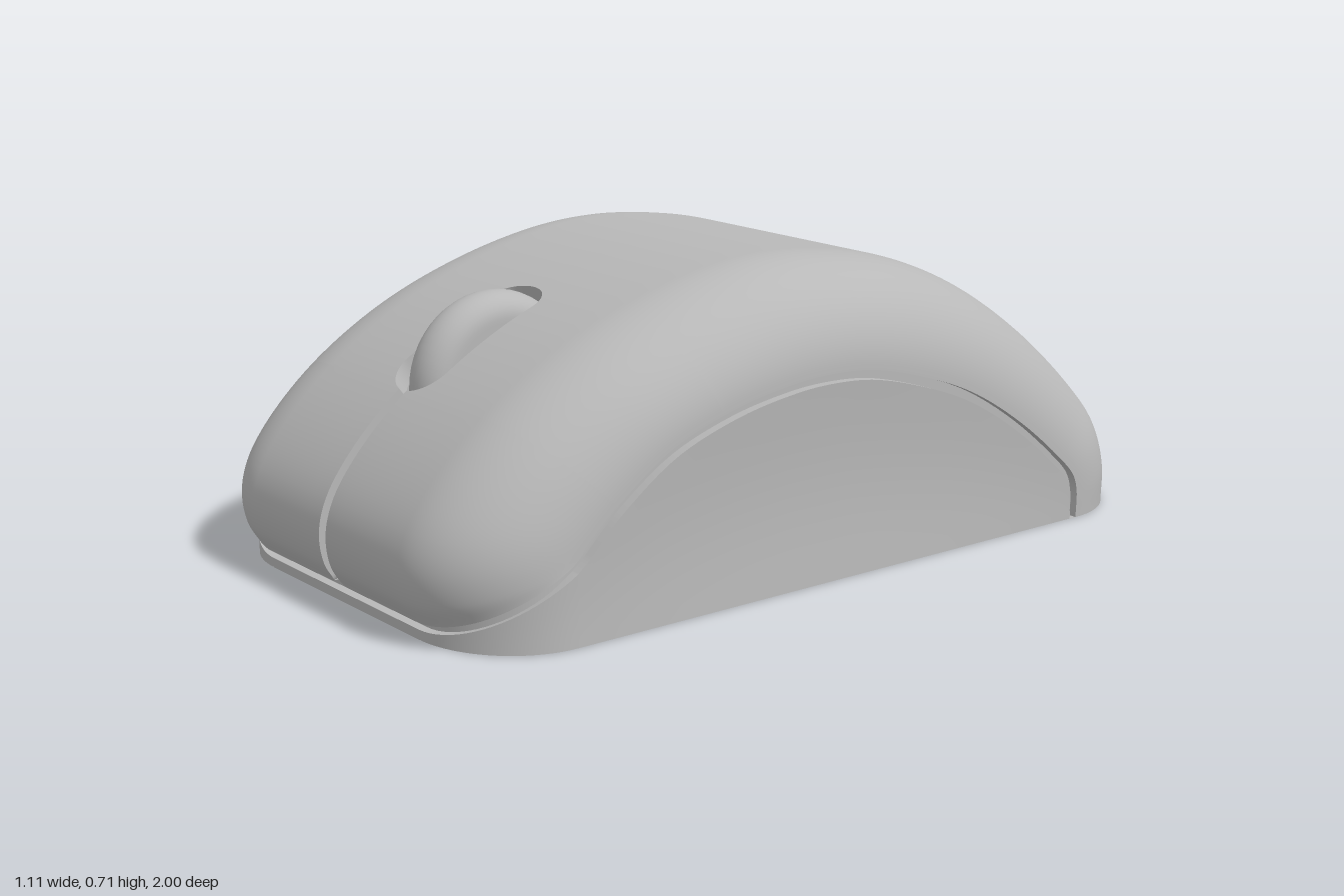
import * as THREE from 'three';

const HALF = 0.555, R = 0.25, X0 = HALF - R; // half width, edge rounding, flat half width
const curve = (pts) => new THREE.CatmullRomCurve3(pts.map(([z, y]) => new THREE.Vector3(0, y, z)));

// Matching side profiles: centre line of the shell and its lower rim at the side
const crown = curve([
  [0.96, 0.04], [0.99, 0.09], [1, 0.16], [0.98, 0.235], [0.91, 0.335], [0.78, 0.455], [0.6, 0.565], [0.4, 0.645],
  [0.2, 0.695], [0.05, 0.71], [-0.1, 0.703], [-0.3, 0.667], [-0.5, 0.59], [-0.7, 0.465],
  [-0.88, 0.31], [-0.96, 0.215], [-1, 0.1], [-1, 0]]);
const rim = curve([
  [0.74, 0.175], [0.725, 0.187], [0.71, 0.2], [0.695, 0.215], [0.675, 0.235], [0.62, 0.285], [0.48, 0.38], [0.31, 0.44],
  [0.155, 0.468], [0.05, 0.475], [-0.08, 0.467], [-0.23, 0.43], [-0.39, 0.37], [-0.55, 0.275],
  [-0.69, 0.165], [-0.745, 0.11], [-0.76, 0.07], [-0.76, 0]]);

// Inward normal of a profile in the side plane
const inward = (c, t) => {
  const d = c.getTangent(t);
  return new THREE.Vector3(0, d.z, -d.y);
};

// Surface from rows of points
function grid(rows, flip) {
  const n = rows[0].length, index = [];
  for (let i = 0; i < rows.length - 1; i++) {
    for (let j = 0; j < n - 1; j++) {
      const a = i * n + j, b = a + 1, c = a + n, d = c + 1;
      if (flip) index.push(a, c, b, b, c, d);
      else index.push(a, b, c, b, d, c);
    }
  }
  const g = new THREE.BufferGeometry().setFromPoints(rows.flat());
  g.setIndex(index);
  g.computeVertexNormals();
  return g;
}

// Parameter where the crown passes a given z
function crownAt(z) {
  let lo = 0.2, hi = 1;
  for (let i = 0; i < 40; i++) {
    const m = (lo + hi) / 2;
    if (crown.getPoint(m).z > z) lo = m; else hi = m;
  }
  return lo;
}

const SLOT_BACK = 0.44, SLOT_FRONT = 0.79, SLOT_R = 0.065;
const tFront = crownAt(SLOT_FRONT), tBack = crownAt(SLOT_BACK);

// Half width of the opening: button split in front, then the rounded wheel slot
function opening(t) {
  const p = crown.getPoint(t);
  if (t >= tBack) return 0;
  if (t <= tFront) {
    const k = Math.max(0, 0.02 - Math.max(0, p.y - 0.04));
    return 0.014 + 0.02 - Math.sqrt(0.0004 - k * k);
  }
  const e = Math.max(0, SLOT_R - Math.min(p.z - SLOT_BACK, SLOT_FRONT - p.z));
  const w = 0.082 * Math.sqrt(Math.max(0, 1 - (e / SLOT_R) ** 2));
  return p.z > 0.6 ? Math.max(0.014, w) : w;
}

// Samples along the shell, closer together at the slot ends
const ts = [];
for (let i = 0; i < 8; i++) ts.push(0.03 * i / 8);
for (let i = 0; i < 30; i++) ts.push(0.03 + (tFront - 0.03) * i / 30);
for (let i = 0; i < 64; i++) ts.push(tFront + (tBack - tFront) * (1 - Math.cos(Math.PI * i / 64)) / 2);
for (let i = 0; i <= 90; i++) ts.push(tBack + (1 - tBack) * i / 90);

// Point on the rounded edge between crown and rim
function edgePoint(t, a, side) {
  const p = rim.getPoint(t).lerp(crown.getPoint(t), Math.cos(a));
  p.x = side * (X0 + R * Math.sin(a));
  return p;
}

// Line around the front at the seam: side rim, front corner, front, and mirrored
function seamPath(offset, inset, frontY) {
  const half = [];
  for (let i = 0; i <= 90; i++) {
    const t = 1 - i / 90;
    const p = rim.getPoint(t).addScaledVector(inward(rim, t), offset);
    p.x = HALF - inset;
    p.y = Math.max(0, p.y);
    half.push(p);
  }
  const end = half[half.length - 1];
  for (let i = 1; i <= 20; i++) {
    const a = Math.PI / 2 * i / 20, s = Math.sin(a);
    half.push(new THREE.Vector3(X0 + (R - inset) * Math.cos(a),
      THREE.MathUtils.lerp(end.y, frontY, s), THREE.MathUtils.lerp(end.z, 0.955 - inset, s)));
  }
  const mirrored = half.map((p) => new THREE.Vector3(-p.x, p.y, p.z)).reverse();
  return half.concat(mirrored);
}

export function createModel() {
  const model = new THREE.Group();
  const grey = new THREE.MeshStandardMaterial({ color: 0xb8b8b8, side: THREE.DoubleSide });
  grey.name = 'grey plastic';
  const add = (name, geometry) => {
    const mesh = new THREE.Mesh(geometry, grey);
    mesh.name = name;
    model.add(mesh);
    return mesh;
  };

  // Upper shell halves with the lips that turn into the seam and slot
  for (const side of [1, -1]) {
    const label = side > 0 ? 'left' : 'right', flip = side < 0;
    add(label + 'Shell', grid(ts.map((t) => {
      const row = [], w = opening(t);
      for (let j = 0; j < 6; j++) {
        const p = crown.getPoint(t);
        p.x = side * (w + (X0 - w) * j / 6);
        row.push(p);
      }
      for (let j = 0; j <= 24; j++) row.push(edgePoint(t, Math.PI / 2 * j / 24, side));
      return row;
    }), flip));

    add(label + 'RimLip', grid(ts.map((t) => {
      const a = edgePoint(t, Math.PI / 2, side), b = a.clone();
      b.x -= side * 0.035;
      return [a, b];
    }), flip));

    const outer = [], inner = [];
    for (let j = -1; j <= 24; j++) {
      const a = Math.PI / 2 * Math.max(0, j) / 24;
      const p = edgePoint(0, a, side);
      if (j < 0) p.x = side * opening(0);
      const q = p.clone();
      q.z -= 0.035 * Math.cos(a);
      q.x -= side * 0.035 * Math.sin(a);
      outer.push(p);
      inner.push(q);
    }
    add(label + 'FrontLip', grid([outer, inner], !flip));

    // Walls of the button split and wheel slot
    add(label + 'SlotWall', grid(ts.filter((t) => t <= tBack + 1e-6).map((t) => {
      const a = crown.getPoint(t);
      a.x = side * opening(t);
      return [a.clone().addScaledVector(inward(crown, t), 0.05), a];
    }), flip));
  }

  // Recessed floors under the split and around the wheel
  const floor = (name, from, to, half, depth) => {
    const rows = [];
    for (let i = 0; i <= 40; i++) {
      const t = from + (to - from) * i / 40, n = inward(crown, t);
      rows.push([-half, half].map((x) => {
        const p = crown.getPoint(t).addScaledVector(n, depth);
        p.x = x;
        return p;
      }));
    }
    add(name, grid(rows));
  };
  floor('splitFloor', 0, tFront, 0.04, 0.018);
  floor('slotFloor', tFront - 0.005, tBack + 0.005, 0.09, 0.045);

  // Scroll wheel with rounded shoulders
  const profile = [new THREE.Vector2(0, -0.06), new THREE.Vector2(0.14, -0.06)];
  for (let i = 0; i <= 16; i++) {
    const a = -Math.PI / 2 + Math.PI * i / 16;
    profile.push(new THREE.Vector2(0.15 + 0.055 * Math.cos(a), 0.06 * Math.sin(a)));
  }
  profile.push(new THREE.Vector2(0.14, 0.06), new THREE.Vector2(0, 0.06));
  const wheel = add('scrollWheel', new THREE.LatheGeometry(profile, 48));
  wheel.rotation.z = Math.PI / 2;
  wheel.position.set(0, 0.435, 0.557);

  // Lower body: slightly hollowed side panels joined by a strip around the front
  const top = seamPath(0.022, 0, 0.022);
  const panelRows = [];
  for (let k = 0; k <= 10; k++) {
    panelRows.push(top.map((p) => {
      const v = k / 10, q = p.clone();
      q.y *= v;
      q.x -= Math.sign(p.x) * 0.012 * Math.sin(Math.PI * v) * Math.min(1, (p.y / 0.45) ** 2);
      return q;
    }));
  }
  add('lowerBody', grid(panelRows, true));
  add('lowerBodyLip', grid([top, seamPath(0.022, 0.035, 0.022)], true));

  // Floor of the seam groove
  const groove = seamPath(-0.025, 0.022, 0.06);
  add('seamFloor', grid([groove.map((p) => new THREE.Vector3(p.x, 0, p.z)), groove], true));

  // Flat underside
  const sole = new THREE.Shape();
  const back = 1, front = -0.955;
  sole.moveTo(-X0, front);
  sole.lineTo(X0, front);
  sole.quadraticCurveTo(HALF - 0.04, front + 0.04, HALF, front + R);
  sole.curves.pop();
  sole.currentPoint.set(X0, front);
  sole.absarc(X0, front + R, R, -Math.PI / 2, 0);
  sole.absarc(X0, back - R, R, 0, Math.PI / 2);
  sole.absarc(-X0, back - R, R, Math.PI / 2, Math.PI);
  sole.absarc(-X0, front + R, R, Math.PI, Math.PI * 1.5);
  const underside = new THREE.ShapeGeometry(sole, 16);
  underside.rotateX(-Math.PI / 2);
  underside.scale(1, -1, 1);
  underside.setIndex(Array.from(underside.index.array).reverse());
  underside.computeVertexNormals();
  add('underside', underside);

  return model;
}
